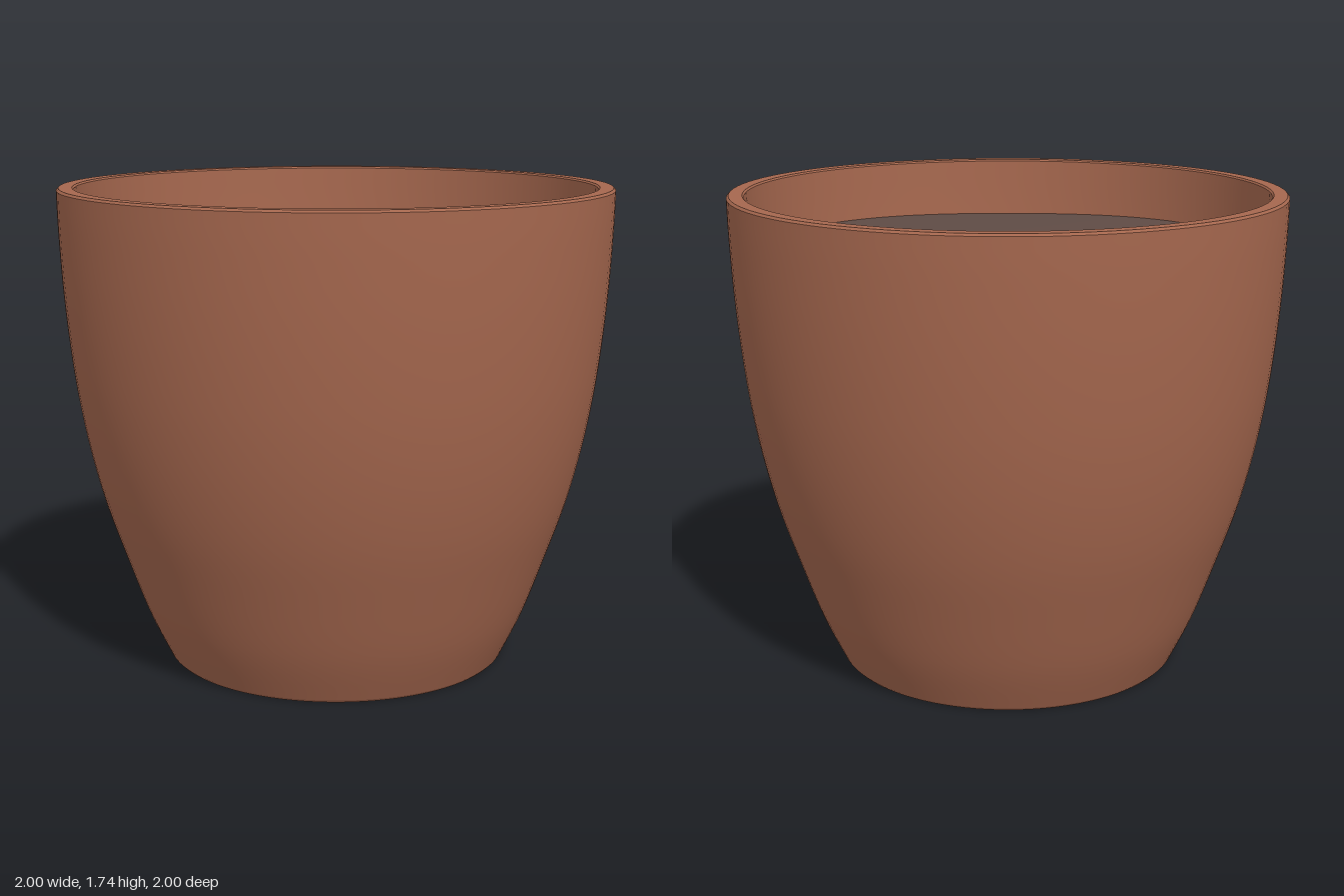
import * as THREE from 'three';

const terracotta = new THREE.MeshStandardMaterial({ color: 0xa5674e });
terracotta.name = 'terracotta';
const soilBrown = new THREE.MeshStandardMaterial({ color: 0x5f4b45 });
soilBrown.name = 'soil brown';

const HEIGHT = 1.74;
const SIDES = 96;

// Smooth profile through a few [radius, y] points
const curve = (points, steps) =>
  new THREE.SplineCurve(points.map(([r, y]) => new THREE.Vector2(r, y))).getPoints(steps);

// Each section is its own lathe, so the edges between sections stay sharp
function turned(name, points) {
  const mesh = new THREE.Mesh(new THREE.LatheGeometry(points, SIDES), terracotta);
  mesh.name = name;
  return mesh;
}

const line = (...points) => points.map(([r, y]) => new THREE.Vector2(r, y));

export function createModel() {
  const model = new THREE.Group();
  model.name = 'flowerPot';

  // Pot: base, curved outer wall, bevelled rim, inner wall and floor
  const pot = new THREE.Group();
  pot.name = 'pot';
  const outer = [[0.63, 0.01], [0.71, 0.18], [0.79, 0.4], [0.857, 0.6], [0.908, 0.8],
    [0.945, 1.0], [0.97, 1.2], [0.987, 1.4], [0.997, 1.6], [1, HEIGHT - 0.008]];
  const inner = [[0.938, HEIGHT - 0.006], [0.925, 1.5], [0.9, 1.2], [0.84, 0.8], [0.72, 0.4], [0.6, 0.12]];
  pot.add(
    turned('base', line([0, 0], [0.62, 0])),
    turned('baseEdge', line([0.62, 0], [0.63, 0.01])),
    turned('outerWall', curve(outer, 40)),
    turned('rimOuterEdge', line([1, HEIGHT - 0.008], [0.992, HEIGHT])),
    turned('rim', line([0.992, HEIGHT], [0.944, HEIGHT])),
    turned('rimInnerEdge', line([0.944, HEIGHT], [0.938, HEIGHT - 0.006])),
    turned('innerWall', curve(inner, 30)),
    turned('innerFloor', line([0.6, 0.12], [0, 0.12])),
  );
  model.add(pot);

  // Soil: a disc with gentle waves, meeting the inner wall
  const soilShape = new THREE.RingGeometry(0, 0.928, SIDES, 12);
  soilShape.rotateX(-Math.PI / 2);
  const pos = soilShape.attributes.position;
  for (let i = 0; i < pos.count; i++) {
    const x = pos.getX(i), z = pos.getZ(i);
    pos.setY(i, 1.53 + 0.008 * Math.sin(3 * x + 0.6) * Math.cos(2.5 * z) - 0.006 * z);
  }
  soilShape.computeVertexNormals();
  const soil = new THREE.Mesh(soilShape, soilBrown);
  soil.name = 'soil';
  model.add(soil);

  return model;
}
